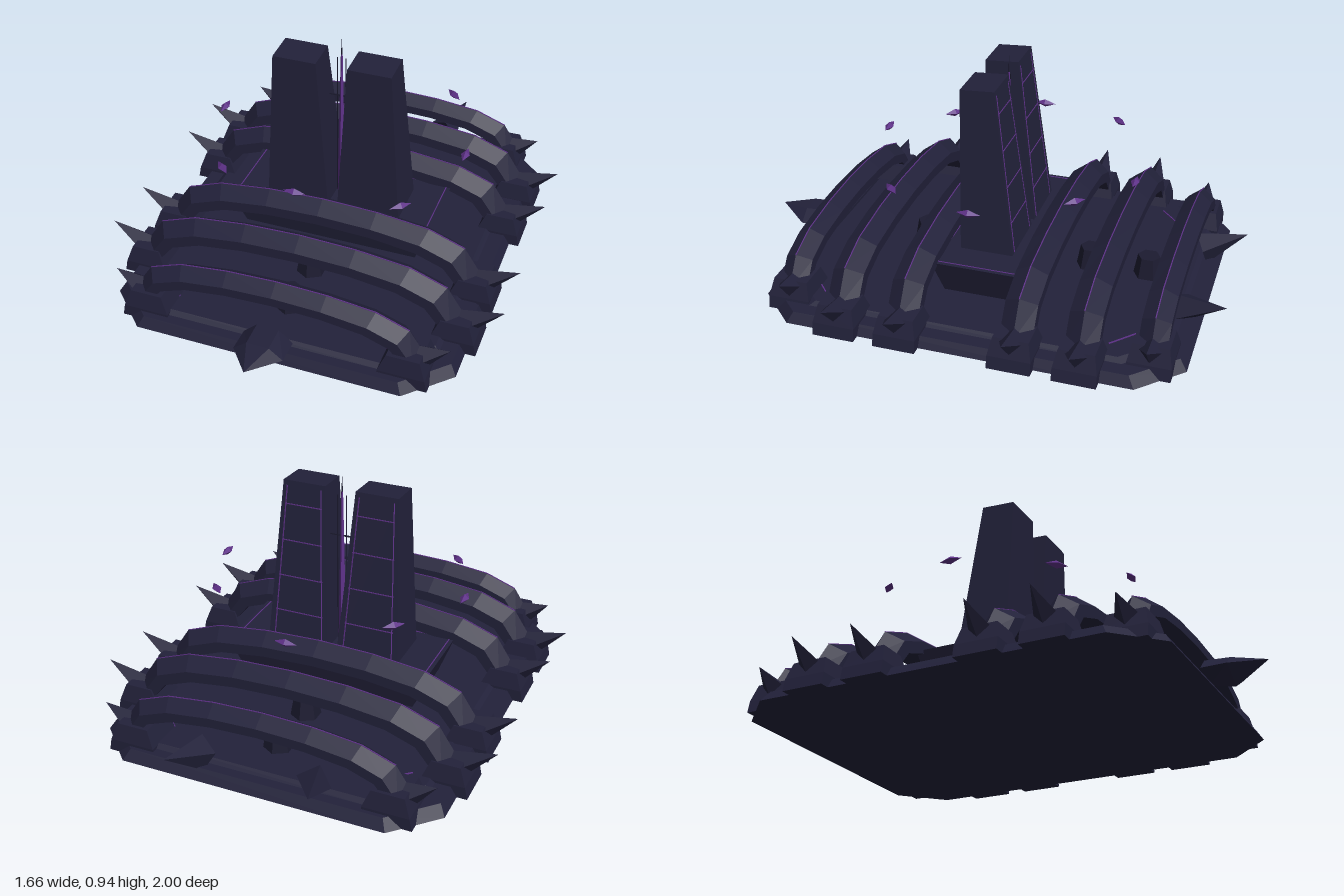
import * as THREE from 'three';

const hull = new THREE.MeshStandardMaterial({ color: 0x22213a });
hull.name = 'dark navy hull';
const trim = new THREE.MeshStandardMaterial({ color: 0x1c1b30 });
trim.name = 'deep navy trim';
const glow = new THREE.MeshStandardMaterial({ color: 0x5e3188 });
glow.name = 'violet crystal';

// Flat-shaded skin over equal-sized rings of [x, y, z], capped at both ends
function loft(rings) {
  const n = rings[0].length, tris = [];
  for (let r = 0; r < rings.length - 1; r++) {
    for (let i = 0; i < n; i++) {
      const j = (i + 1) % n, a = rings[r], b = rings[r + 1];
      tris.push([a[i], a[j], b[j]], [a[i], b[j], b[i]]);
    }
  }
  const first = rings[0], last = rings[rings.length - 1];
  for (let i = 1; i < n - 1; i++) {
    tris.push([first[0], first[i + 1], first[i]], [last[0], last[i], last[i + 1]]);
  }
  // Turn the faces outward when the signed volume is negative
  let volume = 0;
  const [a, b, c] = [0, 1, 2].map(() => new THREE.Vector3());
  for (const t of tris) {
    a.fromArray(t[0]); b.fromArray(t[1]); c.fromArray(t[2]);
    volume += a.dot(b.cross(c));
  }
  if (volume < 0) tris.forEach((t) => t.reverse());
  const geo = new THREE.BufferGeometry();
  geo.setAttribute('position', new THREE.Float32BufferAttribute(tris.flat(2), 3));
  geo.computeVertexNormals();
  return geo;
}

const flat = (geo) => {
  const g = geo.index ? geo.toNonIndexed() : geo;
  g.computeVertexNormals();
  return g;
};

const rect = (y, x0, x1, z0, z1) => [[x0, y, z0], [x1, y, z0], [x1, y, z1], [x0, y, z1]];

// Rectangle with cut corners
function octagon(y, x, z0, z1, cut) {
  return [[-x + cut, y, z0], [x - cut, y, z0], [x, y, z0 + cut], [x, y, z1 - cut],
    [x - cut, y, z1], [-x + cut, y, z1], [-x, y, z1 - cut], [-x, y, z0 + cut]];
}

export function createModel() {
  const model = new THREE.Group();
  model.name = 'fortress';

  function add(name, geo, mat, parent = model) {
    const mesh = new THREE.Mesh(geo, mat);
    mesh.name = name;
    parent.add(mesh);
    return mesh;
  }

  // Thin square bar between two points
  function bar(name, p, q, size = 0.005, parent = model) {
    const a = new THREE.Vector3(...p), b = new THREE.Vector3(...q);
    const mesh = add(name, new THREE.BoxGeometry(size, size, a.distanceTo(b)), glow, parent);
    mesh.position.copy(a).add(b).multiplyScalar(0.5);
    mesh.lookAt(b);
  }

  // Four-sided spike from a base centre to a tip
  function spike(name, p, q, radius) {
    const a = new THREE.Vector3(...p), b = new THREE.Vector3(...q);
    const mesh = add(name, flat(new THREE.ConeGeometry(radius, a.distanceTo(b), 4)), hull);
    mesh.position.copy(a).add(b).multiplyScalar(0.5);
    mesh.quaternion.setFromUnitVectors(new THREE.Vector3(0, 1, 0), b.sub(a).normalize());
  }

  // Base slab and its inner deck
  add('baseSlab', loft([octagon(0, 0.705, -0.9, 0.815, 0.165), octagon(0.04, 0.68, -0.87, 0.79, 0.16)]), hull);
  add('deck', loft([octagon(0.04, 0.62, -0.83, 0.75, 0.16), octagon(0.054, 0.6, -0.81, 0.73, 0.16)]), hull);

  // Glowing seams across the deck corners
  for (const s of [-1, 1]) {
    bar('deckSeam', [s * 0.43, 0.055, -0.69], [s * 0.53, 0.055, -0.6]);
    bar('deckSeam', [s * 0.43, 0.055, 0.65], [s * 0.53, 0.055, 0.56]);
  }

  // Central plinth, wider at the top and just clear of the deck
  add('plinth', loft([rect(0.062, -0.375, 0.375, -0.2, 0.11), rect(0.21, -0.43, 0.43, -0.235, 0.145)]), hull);
  for (const s of [-1, 1]) bar('plinthSeam', [s * 0.412, 0.21, -0.22], [s * 0.412, 0.21, 0.13], 0.004);
  for (const z of [-0.22, 0.13]) bar('plinthSeam', [-0.412, 0.21, z], [0.412, 0.21, z], 0.004);

  // Arched ribs with a ridged section, feet and spikes
  const outer = [[0, 0.32], [0.23, 0.312], [0.45, 0.286], [0.6, 0.23], [0.685, 0.1]];
  const inner = [[0, 0.235], [0.22, 0.227], [0.41, 0.202], [0.53, 0.158], [0.585, 0.09]];
  const mirrored = (path) => [...path.slice(1).reverse().map(([x, y]) => [-x, y]), ...path];
  const ridge = mirrored(outer), belly = mirrored(inner);
  for (const z of [0.68, 0.435, 0.185, -0.27, -0.52, -0.77]) {
    const end = z > 0.6 || z < -0.7;
    const kx = end ? 0.88 : 1, ky = end ? 0.88 : 1, w = end ? 0.056 : 0.064;
    const rings = ridge.map(([ox, oy], i) => {
      const [ix, iy] = belly[i];
      const at = (t, dz) => [kx * (ox + (ix - ox) * t), ky * (oy + (iy - oy) * t), z + dz];
      return [at(0, 0), at(0.5, w), at(1, w), at(1, -w), at(0.5, -w)];
    });
    add('archRib', loft(rings), hull);
    for (let i = 1; i < ridge.length - 2; i++) {
      const [p, q] = [ridge[i], ridge[i + 1]];
      bar('ribSeam', [kx * p[0], ky * p[1] - 0.001, z], [kx * q[0], ky * q[1] - 0.001, z], 0.004);
    }
    for (const s of [-1, 1]) {
      const [x0, x1] = end ? [0.43, 0.625] : [0.565, 0.745];
      add('ribFoot', loft([
        rect(0, s * x0, s * x1, z - 0.085, z + 0.085),
        rect(0.05, s * x0, s * (x1 - 0.01), z - 0.085, z + 0.085),
        rect(0.12, s * (x0 + 0.03), s * (x1 - 0.035), z - 0.07, z + 0.07),
      ]), hull);
      if (end) spike('smallSpike', [s * 0.56, 0.085, z], [s * 0.685, 0.15, z], 0.06);
      else spike('ribSpike', [s * 0.67, 0.085, z], [s * 0.828, 0.17, z], 0.058);
    }
  }

  // Hexagonal vents along the centre line
  for (const z of [0.545, 0.315, -0.4, -0.64]) {
    add('vent', flat(new THREE.CylinderGeometry(0.046, 0.062, 0.09, 6)), trim).position.set(0, 0.095, z);
  }

  // Prow at the front
  const prow = (z, w, top, mid, low) => [[-w * 0.45, top, z], [w * 0.45, top, z], [w, mid, z], [0, low, z], [-w, mid, z]];
  add('prow', loft([
    prow(0.77, 0.1, 0.13, 0.08, 0.045),
    prow(0.87, 0.1, 0.125, 0.082, 0.025),
    prow(0.999, 0.001, 0.11, 0.11, 0.109),
  ]), hull);

  // Horns at the back
  for (const s of [-1, 1]) spike('rearHorn', [s * 0.23, 0.075, -0.82], [s * 0.29, 0.14, -0.999], 0.068);

  // Twin towers with a sloping back
  for (const s of [-1, 1]) {
    const tower = new THREE.Group();
    tower.name = s > 0 ? 'leftTower' : 'rightTower';
    model.add(tower);
    const top = rect(0.88, s * 0.065, s * 0.245, -0.058, 0.08);
    top[0][1] = top[1][1] = 0.888;
    add('towerBody', loft([rect(0.2, s * 0.02, s * 0.287, -0.147, 0.07), top]), hull, tower);
    // Seams on the back face, t runs from foot to top
    const back = (t, u) => {
      const x0 = 0.02 + 0.045 * t, x1 = 0.287 - 0.042 * t;
      return [s * (x0 + (x1 - x0) * u), 0.2 + 0.688 * t, -0.147 + 0.089 * t];
    };
    for (const t of [0.2, 0.42, 0.64, 0.86]) bar('towerSeam', back(t, 0.08), back(t, 0.92), 0.004, tower);
    for (const u of [0.1, 0.9]) bar('towerSeam', back(0.02, u), back(0.97, u), 0.004, tower);
  }

  // Glowing spire between the towers, with needles
  const spire = add('spire', flat(new THREE.CylinderGeometry(0.004, 0.018, 0.66, 4)), glow);
  spire.position.set(0, 0.54, -0.04);
  add('spireNeedle', flat(new THREE.ConeGeometry(0.004, 0.08, 4)), trim).position.set(0, 0.902, -0.04);
  for (const s of [-1, 1]) {
    add('sideNeedle', flat(new THREE.CylinderGeometry(0.002, 0.003, 0.65, 4)), trim).position.set(s * 0.018, 0.53, -0.04);
  }
  add('crossbar', new THREE.BoxGeometry(0.11, 0.005, 0.005), trim).position.set(0, 0.68, -0.04);

  // Ring of floating crystals lying along a circle
  const crystals = [[0, 0.56, 0.48], [0, 0.467, -0.565]];
  for (const s of [-1, 1]) crystals.push([s * 0.37, 0.48, 0.325], [s * 0.37, 0.545, -0.412], [s * 0.522, 0.512, -0.045]);
  for (const [x, y, z] of crystals) {
    const gem = add('floatingCrystal', flat(new THREE.OctahedronGeometry(1)), glow);
    gem.scale.set(0.047, 0.017, 0.018);
    gem.position.set(x, y, z);
    gem.rotation.y = Math.atan2(x, z + 0.045);
  }
  return model;
}
